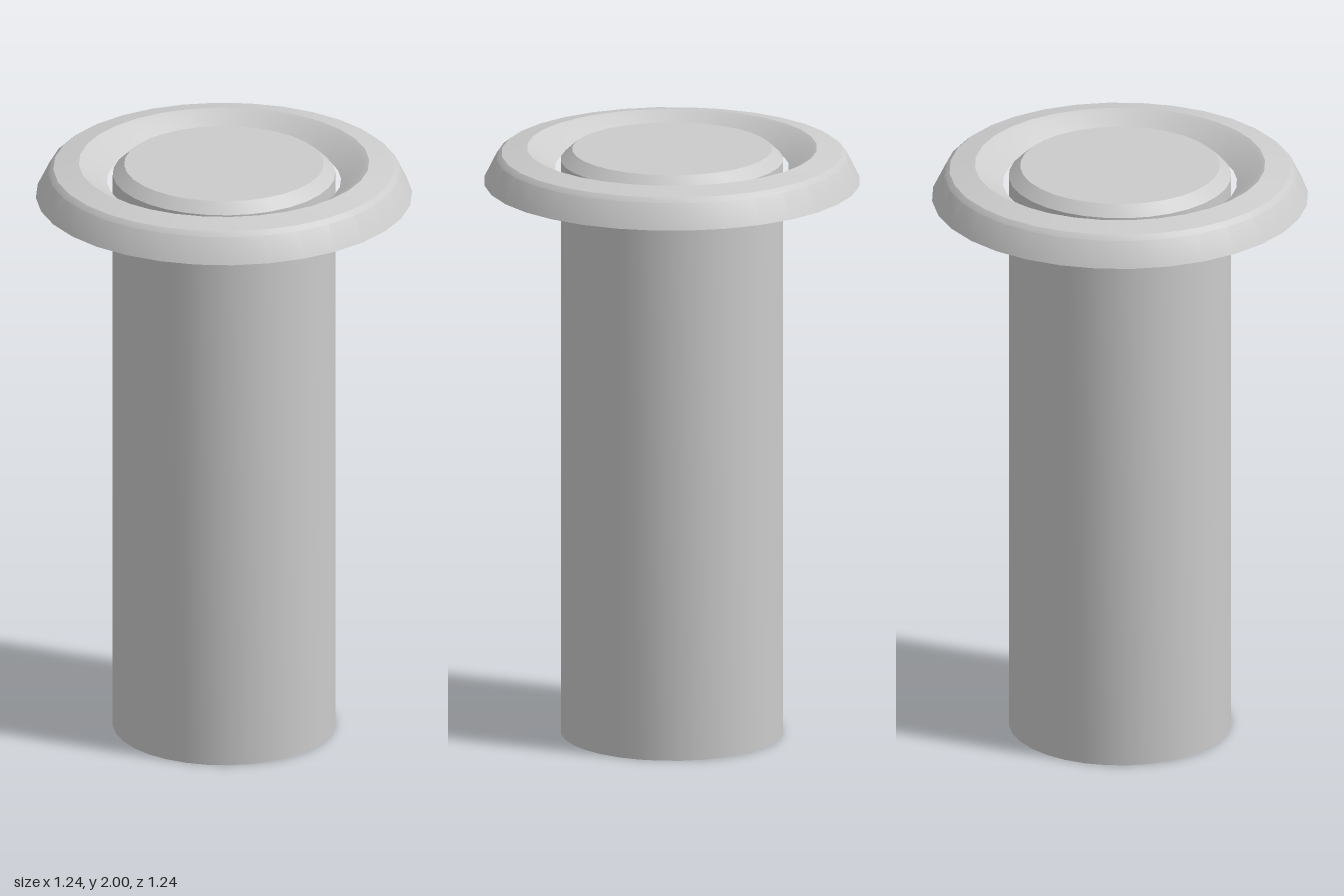
import * as THREE from 'three';
import { toCreasedNormals } from 'three/addons/utils/BufferGeometryUtils.js';

const SIDES = 32;

// Turns a [radius, height] profile into a thin shell with crisp edges between bands.
function turned(name, profile, material) {
  const points = profile.map(([r, y]) => new THREE.Vector2(r, y));
  const geometry = toCreasedNormals(new THREE.LatheGeometry(points, SIDES), 0.4);
  const mesh = new THREE.Mesh(geometry, material);
  mesh.name = name;
  return mesh;
}

export function createModel() {
  const model = new THREE.Group();
  model.name = 'flangedPlunger';
  const material = new THREE.MeshStandardMaterial({ color: 0xcccccc, side: THREE.DoubleSide });

  // Hollow shaft, open at the foot, closed by a chamfered cap
  model.add(turned('shaft', [
    [0.368, 0], [0.368, 1.96], [0.33, 1.995], [0, 1.995],
  ], material));

  // Open-bottomed collar floating around the cap, dished towards the gap
  model.add(turned('collar', [
    [0.622, 1.885], [0.581, 1.968], [0.564, 1.983],
    [0.48, 2], [0.462, 1.991], [0.387, 1.935],
  ], material));

  return model;
}
